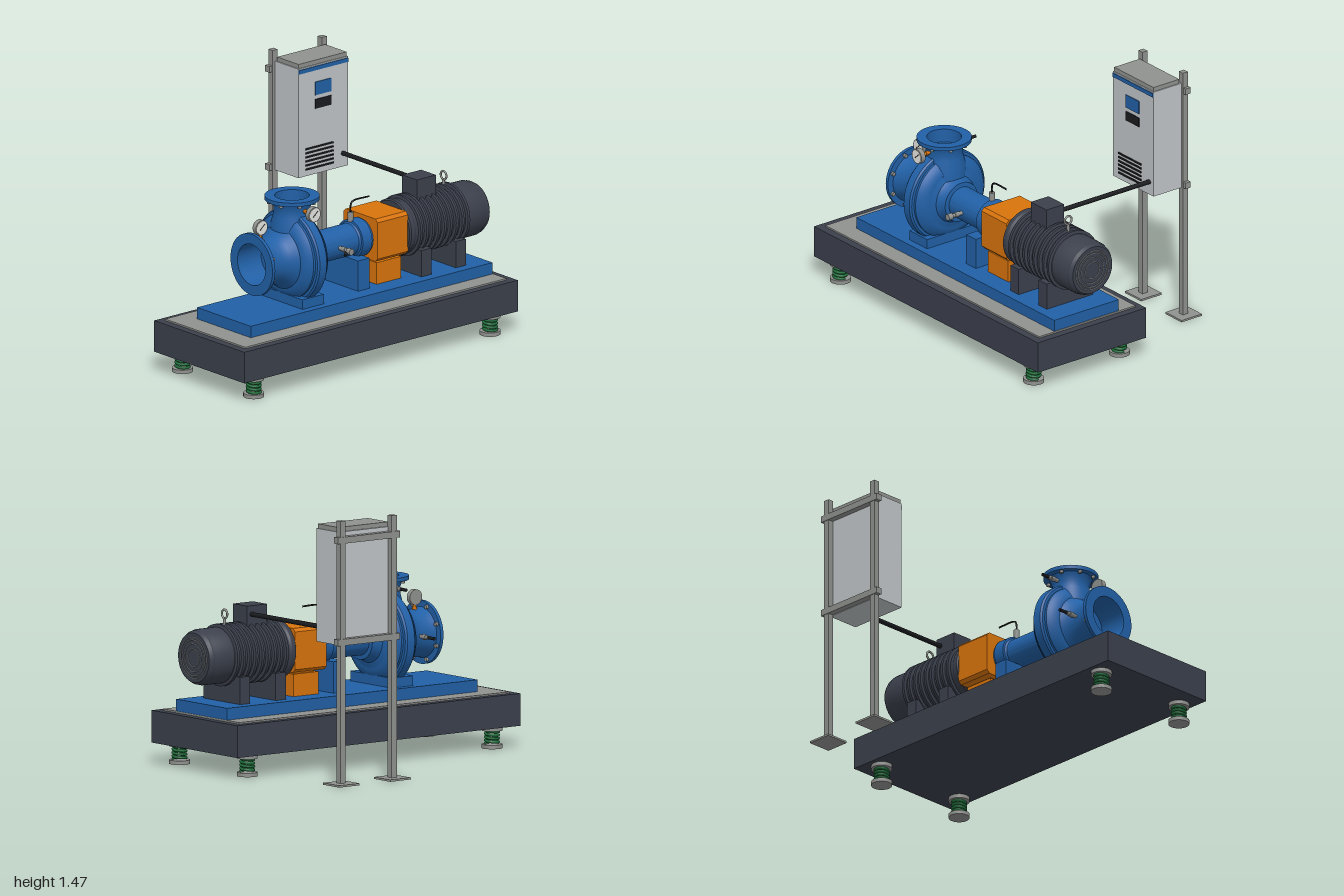
import * as THREE from 'three';
import { toCreasedNormals } from 'three/addons/utils/BufferGeometryUtils.js';

const mat = (name, color) => Object.assign(new THREE.MeshStandardMaterial({ color }), { name });
const M = {
  blue: mat('pump blue', 0x2160a6), dark: mat('motor slate', 0x3b404c), grey: mat('galvanised grey', 0x90928f),
  light: mat('cabinet light grey', 0xc0c5c8), orange: mat('guard orange', 0xd9740c), green: mat('spring green', 0x1f6b3a),
  black: mat('rubber black', 0x1b1c1f), white: mat('dial white', 0xeeeeea),
};
const AY = 0.635, AZ = 0.295, PX = -0.325; // shaft axis and volute centre

export function createModel() {
  const root = new THREE.Group();
  root.name = 'pumpSet';
  const add = (name, geo, m, parent = root) => {
    const mesh = new THREE.Mesh(geo, m);
    mesh.name = name;
    parent.add(mesh);
    return mesh;
  };
  // box given by its limits on each axis
  const box = (name, m, x0, x1, y0, y1, z0, z1, parent) => {
    const g = new THREE.BoxGeometry(x1 - x0, y1 - y0, z1 - z0);
    g.translate((x0 + x1) / 2, (y0 + y1) / 2, (z0 + z1) / 2);
    return add(name, g, m, parent);
  };
  // cylinder between two points
  const rod = (name, m, a, b, r, parent, sides = 20) => {
    const A = new THREE.Vector3(...a), B = new THREE.Vector3(...b), d = B.clone().sub(A);
    const mesh = add(name, new THREE.CylinderGeometry(r, r, d.length(), sides), m, parent);
    mesh.position.copy(A).add(B).multiplyScalar(0.5);
    mesh.quaternion.setFromUnitVectors(new THREE.Vector3(0, 1, 0), d.normalize());
    return mesh;
  };
  const turned = (pts) => toCreasedNormals(
    new THREE.LatheGeometry(pts.map(([r, h]) => new THREE.Vector2(r, h)), 56), 0.5);
  // turned part on the shaft axis, profile as [radius, x]
  const shaftPart = (name, m, pts) =>
    add(name, turned(pts).rotateZ(-Math.PI / 2).translate(0, AY, AZ), m);

  // Base, grout and baseplate
  box('inertiaBase', M.dark, -1, 0.99, 0.12, 0.3, -0.085, 0.675);
  box('groutInlay', M.grey, -0.955, 0.945, 0.29, 0.309, -0.045, 0.63);
  box('baseplate', M.blue, -0.82, 0.94, 0.305, 0.375, 0.068, 0.52);

  // Spring isolators
  class Helix extends THREE.Curve {
    getPoint(t, v = new THREE.Vector3()) {
      const a = t * Math.PI * 8;
      return v.set(Math.cos(a) * 0.036, 0.022 + t * 0.076, Math.sin(a) * 0.036);
    }
  }
  for (const x of [-0.865, 0.855]) for (const z of [-0.003, 0.597]) {
    const iso = new THREE.Group();
    iso.name = 'springIsolator';
    iso.position.set(x, 0, z);
    root.add(iso);
    rod('lowerCup', M.grey, [0, 0, 0], [0, 0.022, 0], 0.058, iso, 32);
    rod('upperCup', M.grey, [0, 0.098, 0], [0, 0.121, 0], 0.058, iso, 32);
    add('spring', new THREE.TubeGeometry(new Helix(), 96, 0.0085, 8), M.green, iso);
  }

  // Pump casing, suction nozzle and flange in one turned profile with a bore
  shaftPart('suctionNozzle', M.blue, [
    [0, -0.45], [0.118, -0.45], [0.118, -0.62], [0.177, -0.62], [0.177, -0.6], [0.142, -0.6], [0.138, -0.585],
    [0.132, -0.55], [0.132, -0.5], [0.145, -0.46], [0.17, -0.42], [0.2, -0.395]].map(
    ([r, x], i) => [r, x]));
  shaftPart('volute', M.blue, [
    [0, -0.415], [0.18, -0.415], [0.2, -0.408], [0.225, -0.392], [0.24, -0.375], [0.24, -0.362], [0.255, -0.36],
    [0.264, -0.35], [0.264, -0.3], [0.255, -0.29], [0.24, -0.288], [0.24, -0.275], [0.225, -0.258],
    [0.2, -0.242], [0.18, -0.235], [0, -0.235]]);
  shaftPart('bearingHousing', M.blue, [
    [0.18, -0.24], [0.135, -0.225], [0.12, -0.2], [0.115, -0.17], [0.09, -0.168], [0.09, 0.085], [0.098, 0.095],
    [0.109, 0.097], [0.109, 0.165], [0.1, 0.17], [0.1, 0.185], [0, 0.185]]);
  add('dischargeNozzle', turned([
    [0.12, 0.74], [0.118, 0.82], [0.105, 0.87], [0.102, 0.91], [0.112, 0.94], [0.118, 0.955], [0.152, 0.955],
    [0.152, 0.977], [0.096, 0.977], [0.096, 0.9], [0, 0.9]]).translate(PX, 0, AZ), M.blue);
  box('pumpFoot', M.blue, -0.405, -0.248, 0.37, 0.43, 0.115, 0.475);
  box('bearingSupport', M.blue, 0.04, 0.125, 0.37, 0.55, 0.155, 0.428);

  // Flange bolts
  for (let i = 0; i < 8; i++) {
    const a = (i + 0.5) * Math.PI / 4, c = Math.cos(a), s = Math.sin(a);
    const y = AY + 0.158 * c, z = AZ + 0.158 * s;
    rod('suctionBolt', M.grey, [-0.602, y, z], [-0.585, y, z], 0.012, root, 6);
    const bx = PX + 0.134 * c, bz = AZ + 0.134 * s;
    rod('dischargeBolt', M.grey, [bx, 0.94, bz], [bx, 0.957, bz], 0.011, root, 6);
  }

  // Pressure gauges facing the front
  const gauge = (x, y, z) => {
    const g = new THREE.Group();
    g.name = 'pressureGauge';
    g.position.set(x, y, z);
    root.add(g);
    rod('gaugeCase', M.grey, [0, 0, -0.014], [0, 0, 0.014], 0.043, g, 36);
    rod('gaugeDial', M.white, [0, 0, 0.013], [0, 0, 0.0155], 0.037, g, 36);
    rod('gaugeNeedle', M.black, [-0.014, -0.012, 0.016], [0.02, 0.018, 0.016], 0.002, g, 6);
  };
  gauge(-0.55, 0.835, 0.287);
  rod('gaugeStem', M.orange, [-0.55, 0.755, 0.287], [-0.55, 0.796, 0.287], 0.009);
  rod('gaugeNut', M.orange, [-0.55, 0.765, 0.287], [-0.55, 0.78, 0.287], 0.014, root, 6);
  gauge(PX, 0.908, 0.473);
  rod('gaugeStem', M.orange, [PX, 0.908, 0.39], [PX, 0.908, 0.462], 0.009);
  rod('gaugeNut', M.orange, [PX, 0.908, 0.41], [PX, 0.908, 0.425], 0.014, root, 6);

  // Small cocks with black lever handles; s is the outward direction in z
  const cock = (x, y, z, s, end) => {
    rod('cockBody', M.grey, [x, y, z], [x, y, z + s * 0.075], 0.011);
    rod('cockCollar', M.grey, [x, y, z + s * 0.03], [x, y, z + s * 0.055], 0.016, root, 6);
    rod('cockHandle', M.black, [x, y, z + s * 0.07], end, 0.009);
  };
  cock(PX, 0.917, 0.195, -1, [PX, 0.917, 0.075]);
  cock(-0.495, AY, 0.168, -1, [-0.495, AY, 0.04]);
  cock(-0.055, AY, 0.38, 1, [-0.085, AY - 0.018, 0.465]);
  rod('drainCap', M.grey, [-0.055, AY, 0.455], [-0.055, AY, 0.485], 0.018);

  // Breather with bent tube
  rod('breather', M.grey, [0.1, 0.735, AZ], [0.1, 0.79, AZ], 0.016);
  const bend = new THREE.CatmullRomCurve3([[0.1, 0.785], [0.1, 0.82], [0.108, 0.843], [0.13, 0.852], [0.235, 0.852]]
    .map(([x, y]) => new THREE.Vector3(x, y, AZ)));
  add('breatherTube', new THREE.TubeGeometry(bend, 32, 0.005, 8), M.black);

  // Coupling guard with chamfered corners
  const w = 0.143, h = 0.123, c = 0.018, gs = new THREE.Shape();
  [[-w + c, -h], [w - c, -h], [w, -h + c], [w, h - c], [w - c, h], [-w + c, h], [-w, h - c], [-w, -h + c]]
    .forEach(([x, y], i) => (i ? gs.lineTo(x, y) : gs.moveTo(x, y)));
  add('couplingGuard', new THREE.ExtrudeGeometry(gs, { depth: 0.222, bevelEnabled: false })
    .rotateY(Math.PI / 2).translate(0.18, 0.637, 0.288), M.orange);
  box('guardPedestal', M.orange, 0.2, 0.378, 0.37, 0.5, 0.19, 0.4);
  box('guardNeck', M.orange, 0.22, 0.358, 0.49, 0.53, 0.21, 0.38);

  // Motor: body with cooling ribs, then the fan cowl
  const body = [[0, 0.398], [0.155, 0.398], [0.163, 0.405], [0.163, 0.43]];
  for (let i = 0; i < 9; i++) {
    const x = 0.442 + i * 0.043;
    body.push([0.156, x], [0.156, x + 0.018], [0.173, x + 0.021], [0.173, x + 0.037], [0.156, x + 0.041]);
  }
  body.push([0.15, 0.835], [0, 0.835]);
  shaftPart('motorBody', M.dark, body);
  shaftPart('fanCowl', M.dark, [[0.15, 0.825], [0.156, 0.83], [0.156, 0.95], [0.15, 0.962], [0.15, 0.975],
    [0.138, 0.995], [0, 0.995]]);
  for (const r of [0.115, 0.1, 0.078, 0.05])
    add('cowlRing', new THREE.TorusGeometry(r, 0.0025, 6, 48).rotateY(Math.PI / 2).translate(0.996, AY, AZ), M.grey);
  for (const x of [0.475, 0.725]) box('motorFoot', M.dark, x, x + 0.072, 0.37, 0.527, 0.135, 0.46);
  box('terminalBox', M.dark, 0.528, 0.667, 0.78, 0.9, 0.235, 0.36);
  rod('eyeboltShank', M.grey, [0.778, 0.785, AZ], [0.778, 0.838, AZ], 0.009);
  add('eyeboltRing', new THREE.TorusGeometry(0.024, 0.006, 10, 28).rotateY(Math.PI / 2)
    .translate(0.778, 0.86, AZ), M.grey);
  rod('powerCable', M.black, [0.635, 0.852, 0.24], [0.635, 0.852, -0.39], 0.013);

  // Control cabinet
  box('cabinet', M.light, 0.31, 0.672, 0.775, 1.405, -0.583, -0.387);
  box('cabinetCap', M.grey, 0.316, 0.666, 1.4, 1.43, -0.572, -0.392);
  const plate = (name, m, x0, x1, y0, y1) => box(name, m, x0, x1, y0, y1, -0.388, -0.382);
  plate('headerStripe', M.blue, 0.312, 0.67, 1.374, 1.397);
  plate('display', M.blue, 0.43, 0.547, 1.23, 1.306);
  plate('keypad', M.black, 0.43, 0.547, 1.152, 1.206);
  for (let i = 0; i < 6; i++) plate('ventSlot', M.black, 0.362, 0.564, 0.808 + i * 0.0235, 0.818 + i * 0.0235);

  // Cabinet stand
  for (const x of [0.309, 0.668]) {
    box('standPost', M.grey, x - 0.018, x + 0.018, 0, 1.47, -0.617, -0.582);
    box('standFoot', M.grey, x - 0.072, x + 0.072, 0, 0.011, -0.673, -0.53);
  }
  for (const y of [0.777, 1.345]) box('standRail', M.grey, 0.27, 0.706, y, y + 0.036, -0.621, -0.585);
  return root;
}
